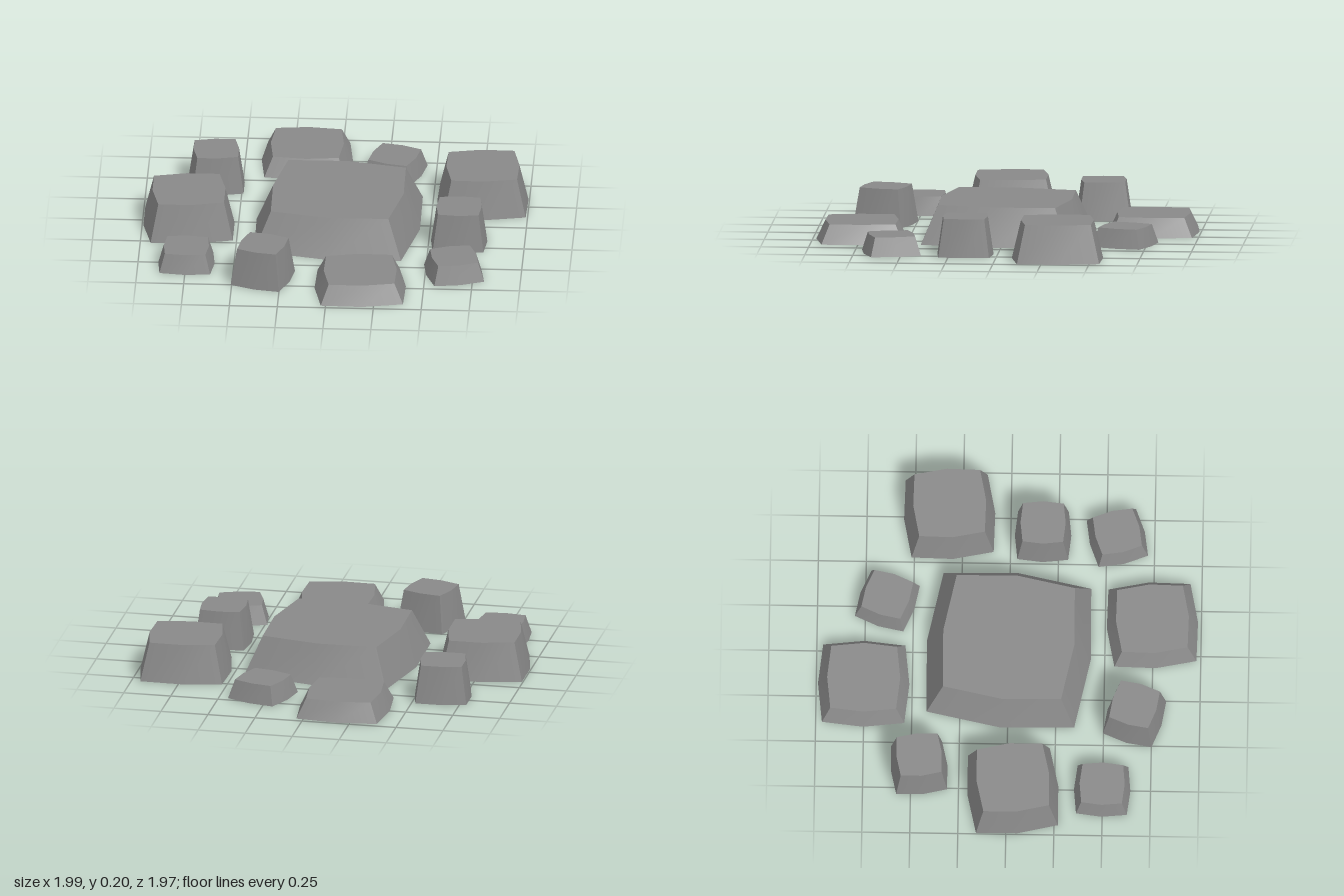
import * as THREE from 'three';
import { toCreasedNormals } from 'three/addons/utils/BufferGeometryUtils.js';

// Tapered stone: an eight-sided frustum whose diagonal points are pushed out
// into corners, giving a square block with slightly bowed sides.
function stoneGeometry(half, height) {
  const geo = new THREE.CylinderGeometry(0.8 * half, half, height, 8, 1);
  const pos = geo.attributes.position;
  const corner = 0.9 * Math.SQRT2;
  for (let i = 0; i < pos.count; i++) {
    const x = pos.getX(i), z = pos.getZ(i);
    if (Math.abs(x) > 1e-4 && Math.abs(z) > 1e-4) {
      pos.setX(i, x * corner);
      pos.setZ(i, z * corner);
    }
  }
  geo.translate(0, height / 2, 0);
  return toCreasedNormals(geo, 0.6);
}

export function createModel() {
  const group = new THREE.Group();
  group.name = 'steppingStones';
  const stoneGrey = new THREE.MeshStandardMaterial({ color: 0x888888 });
  stoneGrey.name = 'stoneGrey';

  const addStone = (name, x, z, half, turn, height) => {
    const stone = new THREE.Mesh(stoneGeometry(half, height), stoneGrey);
    stone.name = name;
    stone.position.set(x, 0, z);
    stone.rotation.y = -THREE.MathUtils.degToRad(turn);
    group.add(stone);
  };

  // Large centre stone
  addStone('centreStone', 0.02, 0, 0.43, 5.7, 0.2);

  // Four medium stones around it
  addStone('backStone', -0.178, -0.753, 0.238, 0, 0.1);
  addStone('leftStone', 0.758, -0.32, 0.238, -5, 0.2);
  addStone('frontStone', 0.17, 0.745, 0.238, -5, 0.1);
  addStone('rightStone', -0.757, 0.033, 0.238, -6.5, 0.2);

  // Small stones filling the gaps
  addStone('smallBackRightStone', -0.638, -0.457, 0.148, -6.5, 0.2);
  addStone('smallBackLeftStone', 0.283, -0.637, 0.148, 18, 0.1);
  addStone('smallLeftStone', 0.658, 0.168, 0.147, 0, 0.2);
  addStone('smallFrontLeftStone', 0.65, 0.555, 0.147, -14.5, 0.1);
  addStone('smallFrontRightStone', -0.342, 0.66, 0.147, 16, 0.2);
  addStone('smallRightStone', -0.748, 0.498, 0.147, 1, 0.1);

  return group;
}
